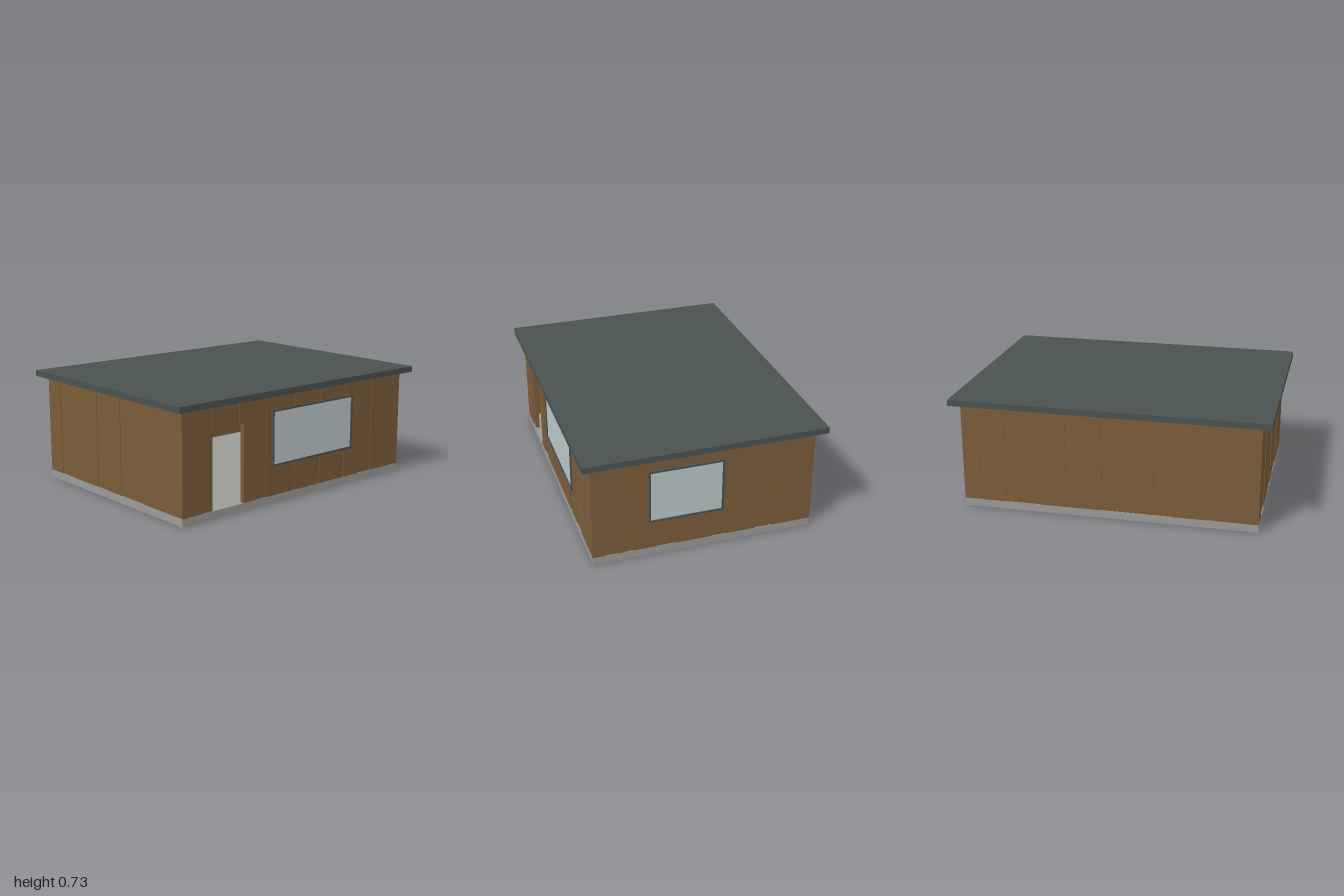
import * as THREE from 'three';

const mat = (name, color) => new THREE.MeshStandardMaterial({ name, color });

export function createModel() {
  const wood = mat('brown timber', 0x7b5c3a);
  const slate = mat('dark slate', 0x4a5250);
  const concrete = mat('grey concrete', 0x9a9a97);
  const glass = mat('pale glass', 0xbcc7c9);

  const cabin = new THREE.Group();
  cabin.name = 'cabin';
  const HX = 0.94, HZ = 0.705, Y0 = 0.05, Y1 = 0.688, T = 0.03, STEP = 0.004;

  // Box given by its two extreme corners
  function box(parent, name, material, x0, x1, y0, y1, z0, z1) {
    const m = new THREE.Mesh(new THREE.BoxGeometry(x1 - x0, y1 - y0, z1 - z0), material);
    m.position.set((x0 + x1) / 2, (y0 + y1) / 2, (z0 + z1) / 2);
    m.name = name;
    parent.add(m);
  }

  // Wall of vertical boards, alternately set back a little, cut around its openings.
  // Local +z points outwards and the outer face lies at z = 0.
  function wall(name, half, distance, angle, seams, openings = []) {
    const g = new THREE.Group();
    g.name = name;
    const edges = [-half, ...seams, half];
    for (let i = 0; i < edges.length - 1; i++) {
      const end = i === 0 || i === edges.length - 2;
      const front = !end && i % 2 ? -STEP : 0;
      const a = edges[i], b = edges[i + 1];
      const cuts = [a, b];
      for (const o of openings) for (const u of [o.u0, o.u1]) if (u > a && u < b) cuts.push(u);
      cuts.sort((p, q) => p - q);
      for (let k = 0; k < cuts.length - 1; k++) {
        const c = cuts[k], d = cuts[k + 1], mid = (c + d) / 2;
        const hole = openings.find((o) => mid > o.u0 && mid < o.u1);
        const spans = hole ? [[Y0, hole.y0], [hole.y1, Y1]] : [[Y0, Y1]];
        for (const [y0, y1] of spans) {
          if (y1 - y0 > 0.001) box(g, 'wallBoard', wood, c, d, y0, y1, -T, front);
        }
      }
    }
    // Framed panes
    for (const o of openings.filter((p) => p.window)) {
      const w = 0.012, z0 = -T, z1 = 0.01;
      box(g, 'windowFrameBottom', slate, o.u0, o.u1, o.y0, o.y0 + w, z0, z1);
      box(g, 'windowFrameTop', slate, o.u0, o.u1, o.y1 - w, o.y1, z0, z1);
      box(g, 'windowFrameSide', slate, o.u0, o.u0 + w, o.y0 + w, o.y1 - w, z0, z1);
      box(g, 'windowFrameSide', slate, o.u1 - w, o.u1, o.y0 + w, o.y1 - w, z0, z1);
      box(g, 'windowPane', glass, o.u0 + w, o.u1 - w, o.y0 + w, o.y1 - w, -0.006, 0.003);
    }
    g.rotation.y = angle;
    g.position.set(Math.sin(angle) * distance, 0, Math.cos(angle) * distance);
    cabin.add(g);
  }

  // Foundation slab and flat roof
  box(cabin, 'foundation', concrete, -HX, HX, 0, Y0, -HZ, HZ);
  box(cabin, 'roof', slate, -1, 1, Y1, 0.727, -0.763, 0.763);

  // Front wall with doorway and window
  wall('frontWall', HX, HZ, 0,
    [-0.785, -0.71, -0.58, -0.5, -0.367, -0.286, -0.065, -0.04, 0.156, 0.18, 0.385, 0.41, 0.548, 0.663, 0.77],
    [
      { u0: -0.71, u1: -0.47, y0: Y0, y1: 0.545 },
      { u0: -0.24, u1: 0.47, y0: 0.237, y1: 0.592, window: true },
    ]);

  // Back wall
  wall('backWall', HX, HZ, Math.PI,
    [-0.834, -0.81, -0.66, -0.44, -0.27, -0.245, -0.04, 0.26, 0.287, 0.4, 0.63, 0.655, 0.77]);

  // Side walls fit between the front and back walls
  wall('leftWall', HZ - T, HX, Math.PI / 2,
    [-0.615, -0.555, -0.507, -0.447, -0.304, -0.185, 0.05, 0.15, 0.34, 0.447, 0.6],
    [{ u0: -0.355, u1: 0.12, y0: 0.237, y1: 0.592, window: true }]);
  wall('rightWall', HZ - T, HX, -Math.PI / 2,
    [-0.567, -0.41, -0.15, -0.03, 0.1, 0.34, 0.6]);

  return cabin;
}
